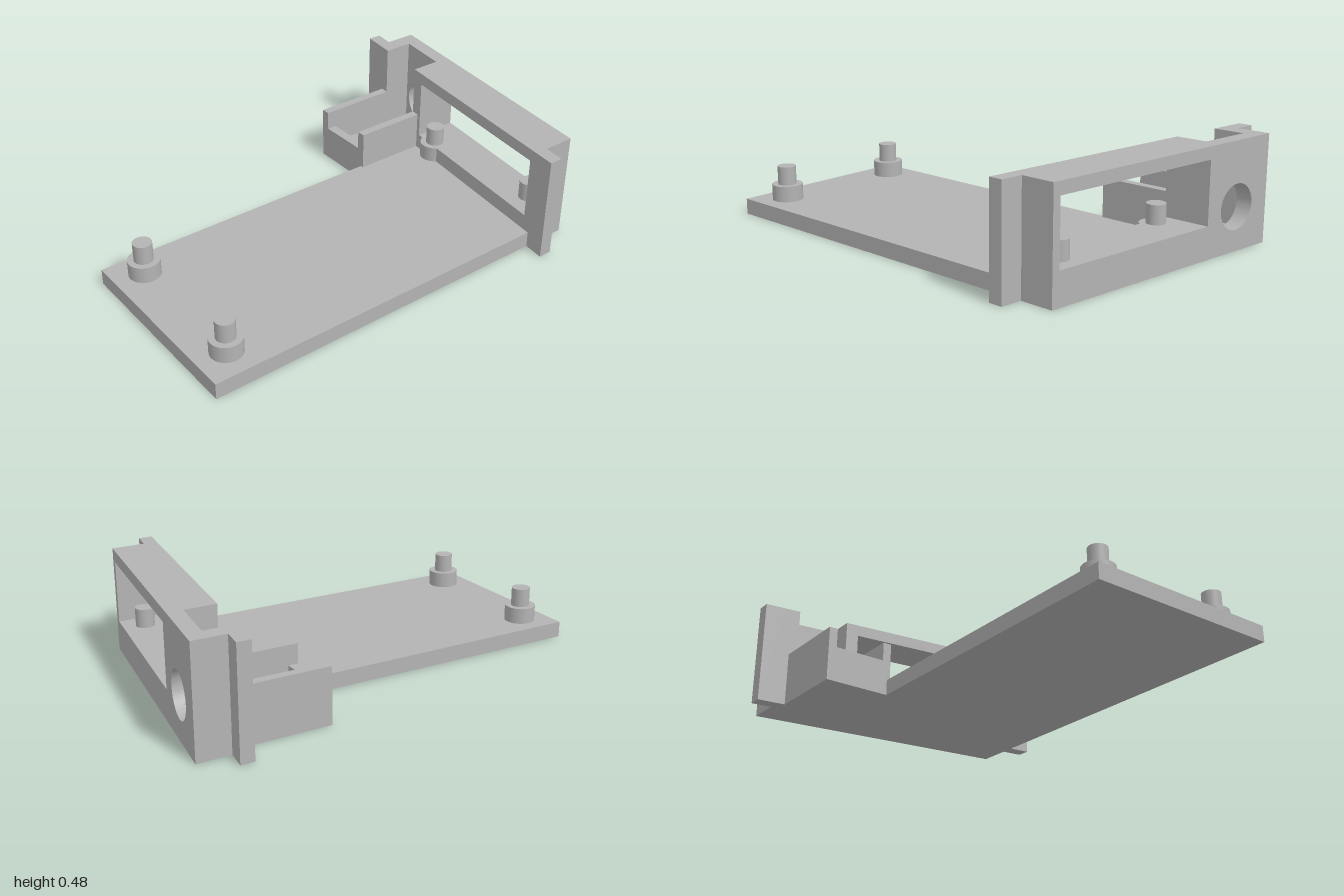
import * as THREE from 'three';
import { toCreasedNormals } from 'three/addons/utils/BufferGeometryUtils.js';

const SLOPE = 0.124;                 // plan slant of the end panel
const BACK = -0.922, SKIN = -0.852, TAB = -0.774, FRONT = -0.713; // panel depths at x = 0
const HEIGHT = 0.48, FLOOR = 0.072, SILL = 0.145;

function polygon(points) {
  return new THREE.Shape(points.map(([x, y]) => new THREE.Vector2(x, y)));
}

function rectangle(x0, x1, y0, y1) {
  return polygon([[x0, y0], [x1, y0], [x1, y1], [x0, y1]]);
}

// Extrude a front profile from depth z0 to z1, then shear it along the slant
function slanted(shape, z0, z1) {
  const g = new THREE.ExtrudeGeometry(shape, { depth: z1 - z0, bevelEnabled: false, curveSegments: 40 });
  g.translate(0, 0, z0);
  const p = g.attributes.position;
  for (let i = 0; i < p.count; i++) p.setZ(i, p.getZ(i) + SLOPE * p.getX(i));
  return toCreasedNormals(g, 0.5);
}

export function createModel() {
  const model = new THREE.Group();
  model.name = 'mountingBracket';
  const grey = new THREE.MeshStandardMaterial({ color: 0xb3b3b3 });
  grey.name = 'grey';

  const add = (name, geometry, parent = model) => {
    const mesh = new THREE.Mesh(geometry, grey);
    mesh.name = name;
    parent.add(mesh);
    return mesh;
  };
  const box = (name, x0, x1, y0, y1, z0, z1, parent) => {
    const g = new THREE.BoxGeometry(x1 - x0, y1 - y0, z1 - z0);
    g.translate((x0 + x1) / 2, (y0 + y1) / 2, (z0 + z1) / 2);
    return add(name, g, parent);
  };

  // Base plate, its rear edge following the slanted panel
  const rear = (x) => -(FRONT + SLOPE * x);
  const plate = new THREE.ExtrudeGeometry(
    polygon([[-0.28, -1], [0.615, -1], [0.615, rear(0.615)], [-0.28, rear(-0.28)]]),
    { depth: FLOOR, bevelEnabled: false });
  plate.rotateX(-Math.PI / 2);
  add('basePlate', plate);

  // End panel: thin rear skin with window and round port
  const panel = new THREE.Group();
  panel.name = 'endPanel';
  model.add(panel);
  const windowHole = () => rectangle(-0.245, 0.58, SILL, 0.425);
  const skin = rectangle(-0.62, 0.615, 0, HEIGHT);
  const port = new THREE.Path();
  port.absarc(-0.425, 0.195, 0.1, 0, Math.PI * 2, true);
  skin.holes.push(windowHole(), port);
  add('panelSkin', slanted(skin, BACK, SKIN), panel);

  // Thick front of the panel, notched from the top for the connector pocket
  const body = polygon([[-0.62, 0], [0.615, 0], [0.615, HEIGHT], [-0.305, HEIGHT],
    [-0.305, FLOOR], [-0.545, FLOOR], [-0.545, HEIGHT], [-0.62, HEIGHT]]);
  body.holes.push(windowHole());
  add('panelBody', slanted(body, SKIN, FRONT), panel);

  // Side flanges
  add('rightFlange', slanted(rectangle(-0.712, -0.62, 0, HEIGHT), TAB, FRONT), panel);
  add('leftFlange', slanted(rectangle(0.615, 0.71, 0, HEIGHT), TAB, FRONT), panel);

  // Connector tray with a low front lip
  const tray = new THREE.Group();
  tray.name = 'connectorTray';
  model.add(tray);
  box('trayFloor', -0.545, -0.305, 0, FLOOR, -0.79, -0.45, tray);
  box('trayLip', -0.545, -0.305, 0, 0.162, -0.45, -0.405, tray);
  box('trayRightWall', -0.585, -0.545, 0, 0.25, -0.81, -0.405, tray);
  box('trayLeftWall', -0.305, -0.265, 0, 0.25, -0.78, -0.405, tray);

  // Four standoffs with locating pins
  for (const x of [-0.15, 0.48]) {
    for (const z of [0.863, -0.763]) {
      const standoff = new THREE.Group();
      standoff.name = 'standoff';
      standoff.position.set(x, 0, z);
      const base = add('standoffBase', new THREE.CylinderGeometry(0.07, 0.07, SILL - FLOOR, 48), standoff);
      base.position.y = (SILL + FLOOR) / 2;
      const pin = add('standoffPin', new THREE.CylinderGeometry(0.042, 0.042, 0.23 - SILL, 40), standoff);
      pin.position.y = (0.23 + SILL) / 2;
      model.add(standoff);
    }
  }
  return model;
}
